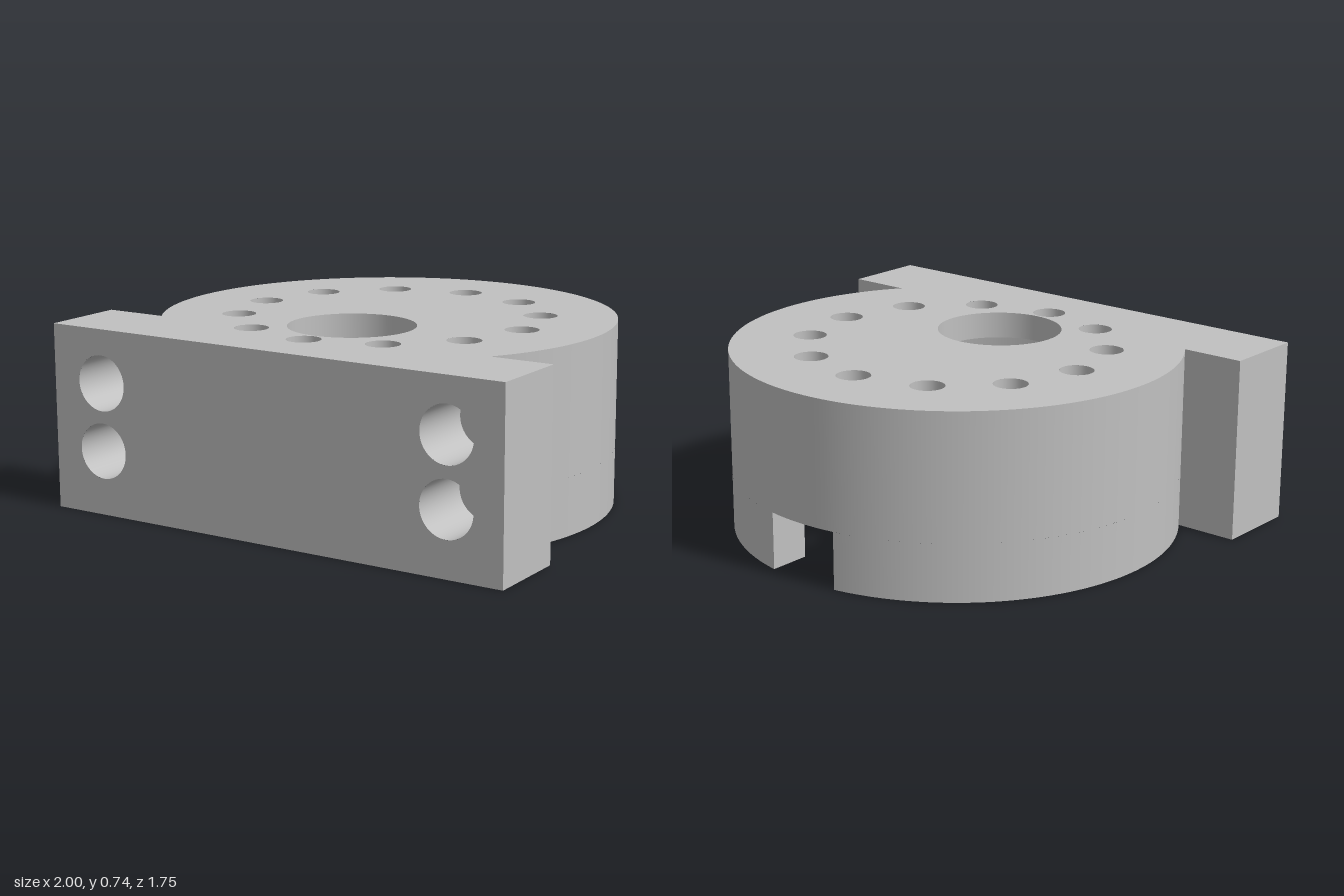
import * as THREE from 'three';

const H = 0.735;                 // overall height
const CZ = 0.025;                // z of the round body's axis
const R = 0.9, RI = 0.735;       // body and cavity radii
const CEIL = 0.628;              // cavity ceiling
const FRONT = 0.875, BACK = 0.53; // flange faces
const NW = 0.157, NH = 0.23;     // notch half width and height
const BOLT_R = 0.11, BOLT_DEPTH = 0.28;

const T0 = Math.acos((BACK - CZ) / R); // where the body meets the flange
const PO = Math.asin(NW / R), PI_ = Math.asin(NW / RI); // notch half angles
const XJ = R * Math.sin(T0);

// Points on a circle around the body axis, angle measured from +z towards +x
function arc(r, a0, a1, n = 96) {
  return Array.from({ length: n + 1 }, (_, i) => {
    const a = a0 + (a1 - a0) * i / n;
    return new THREE.Vector2(r * Math.sin(a), CZ + r * Math.cos(a));
  });
}

// Turns a surface inside out
function flip(g) {
  const ix = g.index.array, n = g.attributes.normal.array;
  for (let i = 0; i < ix.length; i += 3) [ix[i], ix[i + 1]] = [ix[i + 1], ix[i]];
  for (let i = 0; i < n.length; i++) n[i] = -n[i];
  return g;
}

// Horizontal face from an x-z outline
function level(shape, y, up) {
  const g = new THREE.ShapeGeometry(shape, 32).rotateX(Math.PI / 2).translate(0, y, 0);
  return up ? flip(g) : g;
}

// Vertical curved wall around (x, z)
function wall(r, y0, y1, inward, x = 0, z = CZ, a0 = 0, a1 = Math.PI * 2, seg = 96) {
  const g = new THREE.CylinderGeometry(r, r, y1 - y0, seg, 1, true, a0, a1 - a0);
  g.translate(x, (y0 + y1) / 2, z);
  return inward ? flip(g) : g;
}

function addHoles(shape, list) {
  for (const [x, y, r] of list) shape.holes.push(new THREE.Path().absarc(x, y, r, 0, Math.PI * 2, true));
  return shape;
}

export function createModel() {
  const model = new THREE.Group();
  model.name = 'bearingMount';
  const metal = new THREE.MeshStandardMaterial({ color: 0xc0c0c0 });
  metal.name = 'plain grey metal';
  const add = (name, g) => {
    const m = new THREE.Mesh(g, metal);
    m.name = name;
    model.add(m);
  };
  const v = (x, z) => new THREE.Vector2(x, z);
  const T1 = Math.PI * 2 - T0;

  // Ring of twelve small holes and the offset shaft hole
  const holes = [[0, 0.295, 0.251]];
  for (let i = 0; i < 12; i++) {
    const a = i * Math.PI / 6;
    holes.push([0.597 * Math.sin(a), CZ + 0.597 * Math.cos(a), 0.067]);
  }

  // Top face, cavity ceiling and the holes through them
  const outline = new THREE.Shape([v(-1, FRONT), v(1, FRONT), v(1, BACK), ...arc(R, T0, T1), v(-1, BACK)]);
  add('topFace', level(addHoles(outline, holes), H, true));
  const ceiling = new THREE.Shape(arc(RI, 0, Math.PI * 2).slice(0, -1));
  add('cavityCeiling', level(addHoles(ceiling, holes), CEIL, false));
  holes.forEach(([x, z, r], i) =>
    add(i ? 'ringHole' : 'shaftHole', wall(r, CEIL, H, true, x, z, 0, Math.PI * 2, i ? 32 : 64)));

  // Round body, its lower part interrupted by the rear notch
  add('bodyWall', wall(R, NH, H, false, 0, CZ, T0, T1));
  add('bodyWallLower', wall(R, 0, NH, false, 0, CZ, T0, Math.PI - PO));
  add('bodyWallLower', wall(R, 0, NH, false, 0, CZ, Math.PI + PO, T1));
  add('cavityWall', wall(RI, NH, CEIL, true));
  add('cavityWallLower', wall(RI, 0, NH, true, 0, CZ, PI_ - Math.PI, Math.PI - PI_));

  // Bottom face, open at the notch
  add('bottomFace', level(new THREE.Shape([
    v(-1, FRONT), v(1, FRONT), v(1, BACK),
    ...arc(R, T0, Math.PI - PO),
    ...arc(RI, Math.PI - PI_, PI_ - Math.PI),
    ...arc(R, Math.PI + PO, T1),
    v(-1, BACK),
  ]), 0, false));

  // Notch roof
  add('notchRoof', level(new THREE.Shape([
    ...arc(R, Math.PI - PO, Math.PI + PO, 12),
    ...arc(RI, Math.PI + PI_, Math.PI - PI_, 12),
  ]), NH, false));

  // Mirrored flat sides of the notch and flange
  const zo = CZ - R * Math.cos(PO), zi = CZ - RI * Math.cos(PI_);
  for (const s of [1, -1]) {
    add('notchSide', new THREE.PlaneGeometry(zi - zo, NH)
      .rotateY(-s * Math.PI / 2).translate(s * NW, NH / 2, (zo + zi) / 2));
    add('flangeEnd', new THREE.PlaneGeometry(FRONT - BACK, H)
      .rotateY(s * Math.PI / 2).translate(s, H / 2, (FRONT + BACK) / 2));
    add('flangeBack', new THREE.PlaneGeometry(1 - XJ, H)
      .rotateY(Math.PI).translate(s * (1 + XJ) / 2, H / 2, BACK));
  }

  // Flange front with four blind bolt holes
  const bolts = [];
  for (const x of [-0.77, 0.77]) for (const y of [0.255, 0.523]) bolts.push([x, y, BOLT_R]);
  const front = new THREE.Shape([v(-1, 0), v(1, 0), v(1, H), v(-1, H)]);
  add('flangeFront', new THREE.ShapeGeometry(addHoles(front, bolts), 32).translate(0, 0, FRONT));
  for (const [x, y, r] of bolts) {
    add('boltHole', flip(new THREE.CylinderGeometry(r, r, BOLT_DEPTH, 48, 1, true))
      .rotateX(Math.PI / 2).translate(x, y, FRONT - BOLT_DEPTH / 2));
    add('boltHoleFloor', new THREE.CircleGeometry(r, 48).translate(x, y, FRONT - BOLT_DEPTH));
  }
  return model;
}
